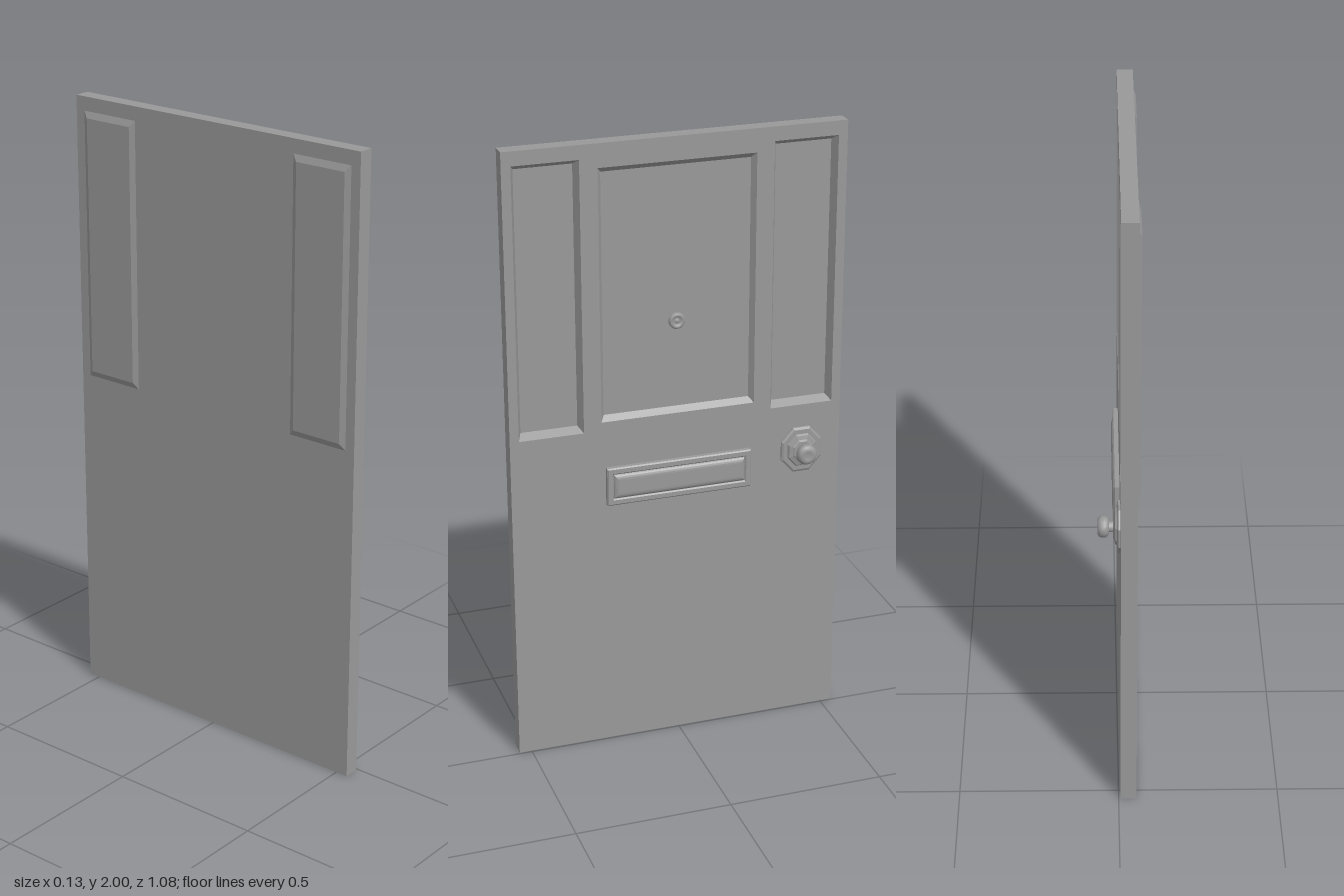
import * as THREE from 'three';

const FRONT = -0.006, MID = -0.036, BACK = -0.056;

// Local frame while building: x across the door, y up, z out of the decorated face
const rectPath = (Type, cx, cy, w, h) => {
  const p = new Type();
  p.moveTo(cx - w / 2, cy - h / 2);
  p.lineTo(cx + w / 2, cy - h / 2);
  p.lineTo(cx + w / 2, cy + h / 2);
  p.lineTo(cx - w / 2, cy + h / 2);
  p.closePath();
  return p;
};

// Rectangular rings [w, h, z] joined into bevels and closed with a flat cap
function steppedPanel(rings) {
  const pos = [], idx = [];
  for (const [w, h, z] of rings)
    for (const [sx, sy] of [[-1, -1], [1, -1], [1, 1], [-1, 1]]) pos.push(sx * w / 2, sy * h / 2, z);
  for (let r = 0; r < rings.length - 1; r++)
    for (let i = 0; i < 4; i++) {
      const a = r * 4 + i, b = r * 4 + (i + 1) % 4;
      idx.push(a, b, b + 4, a, b + 4, a + 4);
    }
  const t = (rings.length - 1) * 4;
  idx.push(t, t + 1, t + 2, t, t + 2, t + 3);
  const g = new THREE.BufferGeometry();
  g.setAttribute('position', new THREE.Float32BufferAttribute(pos, 3));
  g.setIndex(idx);
  const flat = g.toNonIndexed();
  flat.computeVertexNormals();
  return flat;
}

// Turned part whose axis points out of the door
function turned(profile, sides) {
  let g = new THREE.LatheGeometry(profile.map(p => new THREE.Vector2(...p)), sides, Math.PI / sides);
  g.rotateX(Math.PI / 2);
  if (sides <= 8) {
    g = g.toNonIndexed();
    g.computeVertexNormals();
  }
  return g;
}

export function createModel() {
  const model = new THREE.Group();
  model.name = 'door';
  const door = new THREE.Group();
  door.name = 'doorLeaf';
  door.rotation.y = Math.PI / 2;
  model.add(door);

  const grey = new THREE.MeshStandardMaterial({ color: 0x999999 });
  grey.name = 'grey';
  const add = (name, geometry, x = 0, y = 0, z = 0) => {
    const m = new THREE.Mesh(geometry, grey);
    m.name = name;
    m.position.set(x, y, z);
    door.add(m);
    return m;
  };

  // Slab: solid rear board plus a front layer pierced for the panels
  const panels = [
    { name: 'leftPanel', x: -0.408, y: 1.522, w: 0.206, h: 0.866, floor: -0.034 },
    { name: 'centrePanel', x: 0, y: 1.521, w: 0.498, h: 0.808, floor: -0.024 },
    { name: 'rightPanel', x: 0.408, y: 1.522, w: 0.206, h: 0.866, floor: -0.034 },
  ];
  add('rearBoard', new THREE.BoxGeometry(1.08, 2, MID - BACK), 0, 1, (MID + BACK) / 2);
  const face = rectPath(THREE.Shape, 0, 1, 1.08, 2);
  for (const p of panels) face.holes.push(rectPath(THREE.Path, p.x, p.y, p.w, p.h));
  add('frontBoard', new THREE.ExtrudeGeometry(face, { depth: FRONT - MID, bevelEnabled: false }), 0, 0, MID);

  // Recessed panels with bevelled edges
  for (const p of panels)
    add(p.name, steppedPanel([
      [p.w, p.h, FRONT], [p.w - 0.026, p.h - 0.034, p.floor],
    ]), p.x, p.y);

  // Raised panels on the rear
  for (const s of [-1, 1]) {
    const raised = steppedPanel([[0.206, 0.866, 0], [0.172, 0.826, 0.009]]);
    add('rearRaisedPanel', raised, s * 0.405, 1.522, BACK).rotation.y = Math.PI;
  }

  // Letter box: bevelled frame around a bowed flap
  const frame = rectPath(THREE.Shape, 0, 0, 0.466, 0.118);
  frame.holes.push(rectPath(THREE.Path, 0, 0, 0.44, 0.09));
  add('letterBoxFrame', new THREE.ExtrudeGeometry(frame, {
    depth: 0.014, bevelEnabled: true, bevelThickness: 0.004, bevelSize: 0.004, bevelSegments: 1,
  }), 0, 0.902, FRONT);
  const rings = [[0.434, 0.084, 0]];
  for (let i = 0; i <= 5; i++) {
    const a = i / 5 * Math.PI / 2;
    rings.push([0.4 + 0.034 * Math.cos(a), 0.046 + 0.038 * Math.cos(a), 0.008 + 0.014 * Math.sin(a)]);
  }
  add('letterBoxFlap', steppedPanel(rings), 0, 0.902, FRONT);

  // Spyhole in the centre panel
  add('spyhole', turned([
    [0.026, 0], [0.026, 0.006], [0.022, 0.01], [0.016, 0.01], [0.013, 0.006], [0.007, 0.006], [0.004, 0.009], [0, 0.009],
  ], 16), 0, 1.415, -0.024);

  // Door knob on its octagonal stepped rose
  const rose = add('knobRose', turned([
    [0.073, 0], [0.073, 0.006], [0.066, 0.01], [0.052, 0.01], [0.048, 0.016], [0.036, 0.019], [0.03, 0.022], [0, 0.022],
  ], 8), 0.41, 0.938, FRONT);
  rose.scale.y = 1.12;
  add('knob', turned([
    [0.018, 0], [0.016, 0.034], [0.022, 0.034], [0.029, 0.038], [0.033, 0.046], [0.033, 0.056],
    [0.029, 0.064], [0.022, 0.068], [0.014, 0.068], [0.011, 0.066], [0, 0.066],
  ], 16), 0.41, 0.938, FRONT);

  return model;
}
